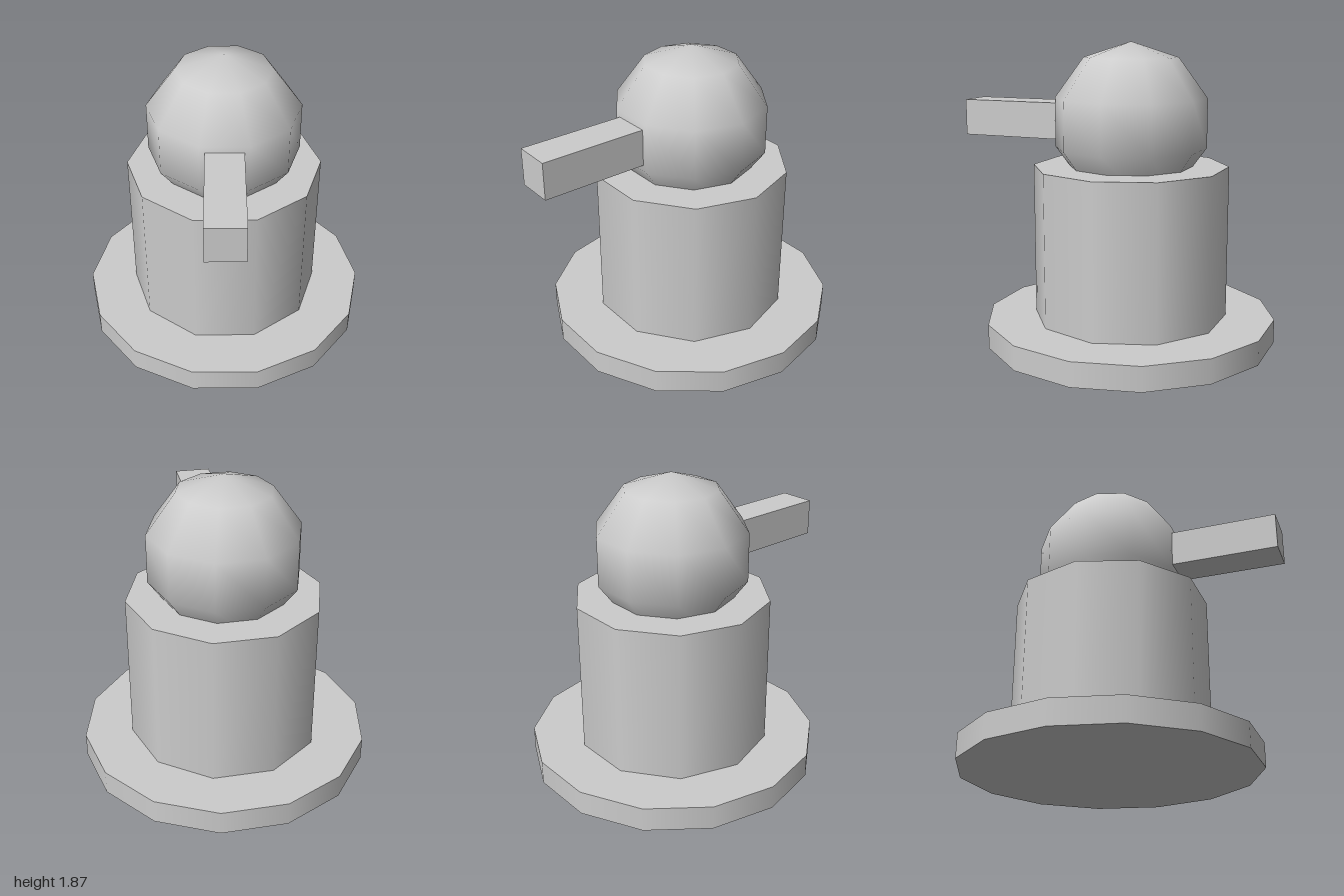
import * as THREE from 'three';

export function createModel() {
  const model = new THREE.Group();
  model.name = 'turret';
  const grey = new THREE.MeshStandardMaterial({ color: 0xcccccc });
  grey.name = 'light grey';

  const axisZ = -0.11; // the round parts share this vertical axis
  const add = (name, geometry, y, z) => {
    const mesh = new THREE.Mesh(geometry, grey);
    mesh.name = name;
    mesh.position.set(0, y, z);
    model.add(mesh);
    return mesh;
  };

  // Upright drum with a corner on the x axis
  const drum = (name, radius, bottom, top, sides) => {
    const geometry = new THREE.CylinderGeometry(radius, radius, top - bottom, sides);
    geometry.rotateY(Math.PI / 2);
    return add(name, geometry, (bottom + top) / 2, axisZ);
  };

  drum('basePlate', 0.913, 0, 0.152, 14);
  drum('body', 0.61, 0.152, 1.107, 10);

  // Low-poly dome head, sunk into the body
  add('head', new THREE.SphereGeometry(0.495, 10, 5), 1.375, axisZ);

  // Square barrel pointing forward out of the head
  const barrelBack = 0.1;
  const barrelFront = 1;
  add('barrel', new THREE.BoxGeometry(0.228, 0.228, barrelFront - barrelBack),
    1.375, (barrelFront + barrelBack) / 2);

  return model;
}
